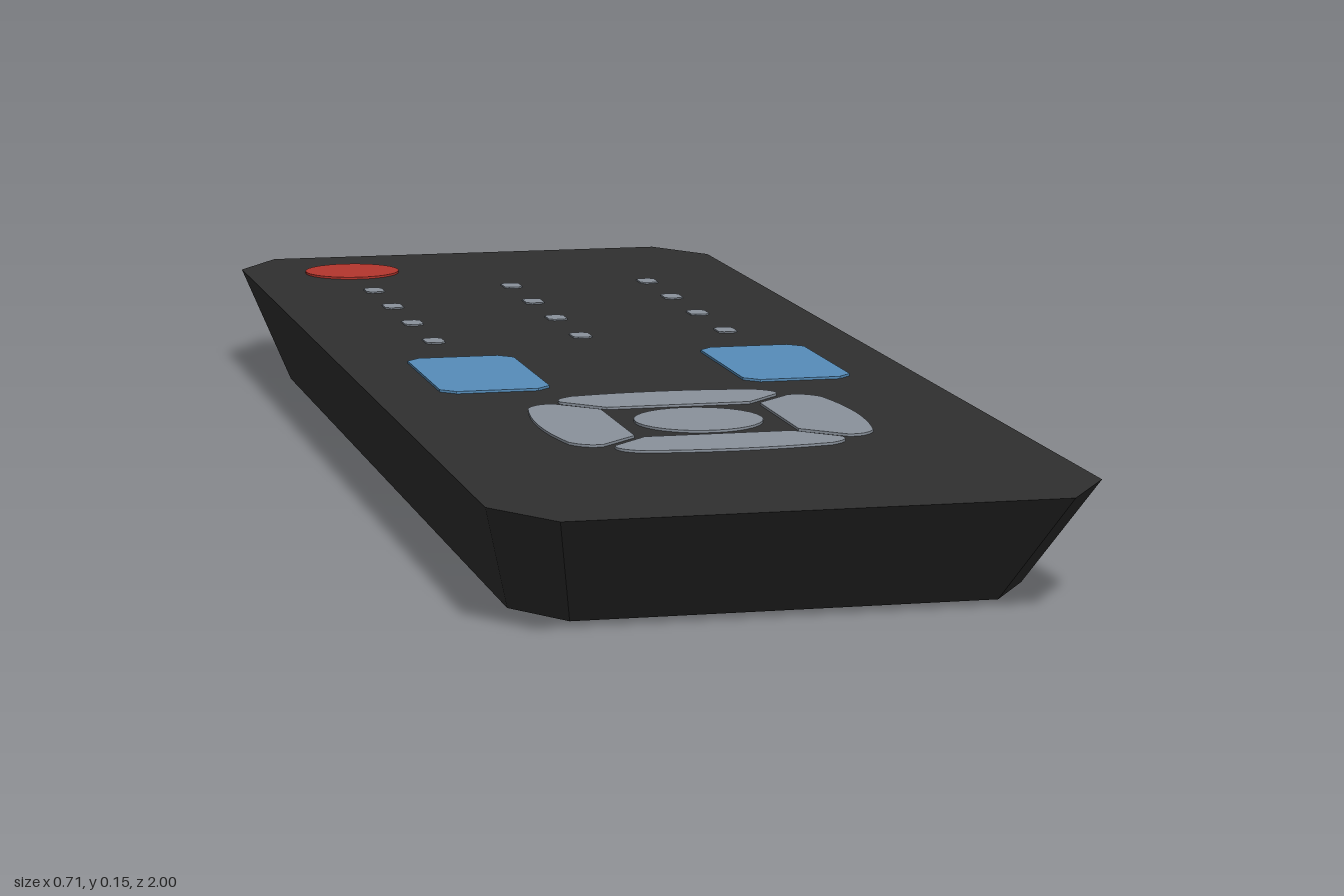
import * as THREE from 'three';

const TOP = 0.143; // height of the button face

const dark = new THREE.MeshStandardMaterial({ name: 'body charcoal', color: 0x303030 });
const grey = new THREE.MeshStandardMaterial({ name: 'button grey', color: 0x8a929c });
const blue = new THREE.MeshStandardMaterial({ name: 'rocker blue', color: 0x568dba });
const red = new THREE.MeshStandardMaterial({ name: 'power red', color: 0xb5362d });

// Extrudes a plan outline upwards (outline +y points to the back)
function extrudeUp(shape, depth) {
  const geo = new THREE.ExtrudeGeometry(shape, { depth, bevelEnabled: false, curveSegments: 8 });
  return geo.rotateX(-Math.PI / 2);
}

// Rectangle with straight chamfered corners
function chamferedRect(hx, hz, cx, cz) {
  return new THREE.Shape([
    [hx - cx, -hz], [hx, cz - hz], [hx, hz - cz], [hx - cx, hz],
    [cx - hx, hz], [-hx, hz - cz], [-hx, cz - hz], [cx - hx, -hz],
  ].map(([x, y]) => new THREE.Vector2(x, y)));
}

// One curved arm of the direction pad, lying behind its centre
function padArm() {
  const s = new THREE.Shape();
  s.moveTo(-0.09, 0.1);
  s.lineTo(0.09, 0.1);
  s.lineTo(0.137, 0.148);
  s.quadraticCurveTo(0.143, 0.17, 0.115, 0.185);
  s.quadraticCurveTo(0, 0.208, -0.115, 0.185);
  s.quadraticCurveTo(-0.143, 0.17, -0.137, 0.148);
  s.closePath();
  return s;
}

export function createModel() {
  const group = new THREE.Group();
  group.name = 'remoteControl';

  function add(name, geo, mat, x = 0, y = 0, z = 0) {
    const mesh = new THREE.Mesh(geo, mat);
    mesh.name = name;
    mesh.position.set(x, y, z);
    group.add(mesh);
    return mesh;
  }

  // Body: eight-sided slab that tapers towards its underside
  const body = extrudeUp(chamferedRect(0.353, 1, 0.063, 0.095), TOP);
  const p = body.attributes.position;
  for (let i = 0; i < p.count; i++) {
    if (p.getY(i) < 0.01) p.setXYZ(i, p.getX(i) * 0.857, 0, p.getZ(i) * 0.857);
  }
  body.computeVertexNormals();
  add('body', body, dark);

  // Power button
  const disc = (r) => new THREE.CylinderGeometry(r, r, 0.003, 32).translate(0, 0.0015, 0);
  add('powerButton', disc(0.068), red, -0.2, TOP, -0.84);

  // Keypad: small plain marks in four rows of three
  const mark = extrudeUp(chamferedRect(0.013, 0.02, 0.006, 0.006), 0.002);
  for (const z of [-0.655, -0.505, -0.355, -0.2]) {
    for (const x of [-0.2, 0, 0.2]) add('keyMark', mark, grey, x, TOP, z);
  }

  // Pair of rocker buttons
  const rocker = extrudeUp(chamferedRect(0.07, 0.128, 0.018, 0.018), 0.003);
  for (const side of [-1, 1]) add('rockerButton', rocker, blue, side * 0.195, TOP, 0.072);

  // Direction pad with centre button
  add('centreButton', disc(0.078), grey, 0, TOP, 0.45);
  const arm = extrudeUp(padArm(), 0.003);
  for (let i = 0; i < 4; i++) {
    add('directionButton', arm, grey, 0, TOP, 0.45).rotation.y = i * Math.PI / 2;
  }

  return group;
}
